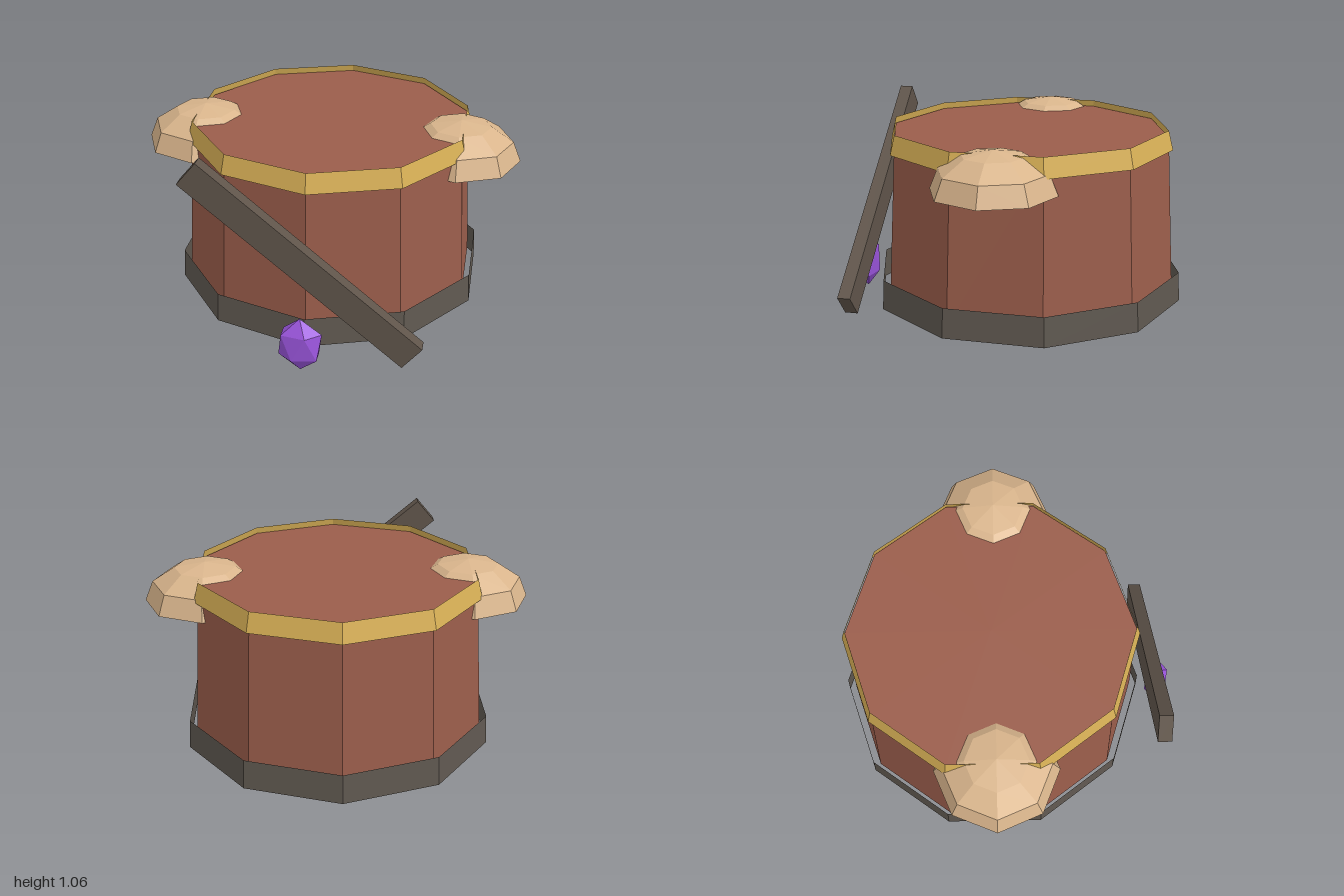
import * as THREE from 'three';

const flat = (color, extra = {}) => new THREE.MeshStandardMaterial({ color, flatShading: true, ...extra });

export function createModel() {
  const group = new THREE.Group();
  const open = { side: THREE.DoubleSide };
  const mats = {
    leather: flat(0x9a5d4b),
    gold: flat(0xd8b056, open),
    darkBelt: flat(0x5f5850, open),
    darkStrap: flat(0x60554b),
    tan: flat(0xd9b58c, open),
    purple: flat(0x9a55dc),
  };
  for (const [name, m] of Object.entries(mats)) m.name = name;

  const add = (name, geometry, material, x, y, z) => {
    const mesh = new THREE.Mesh(geometry, material);
    mesh.name = name;
    mesh.position.set(x, y, z);
    group.add(mesh);
    return mesh;
  };

  // Ten-sided tapered drum or open ring between two heights
  const ring = (name, material, rTop, rBottom, y0, y1, isOpen) =>
    add(name, new THREE.CylinderGeometry(rTop, rBottom, y1 - y0, 10, 1, isOpen),
      material, 0, (y0 + y1) / 2, -0.082);

  ring('torso', mats.leather, 0.738, 0.785, 0.115, 0.956, false);
  ring('collar', mats.gold, 0.737, 0.762, 0.888, 0.99, true);
  ring('belt', mats.darkBelt, 0.818, 0.826, 0.068, 0.224, true);

  // Shoulder domes
  for (const [name, side] of [['leftShoulder', 1], ['rightShoulder', -1]]) {
    const dome = new THREE.SphereGeometry(1, 8, 3, 0, Math.PI * 2, 0, Math.PI / 2);
    dome.scale(0.317, 0.208, 0.317);
    add(name, dome, mats.tan, side * 0.683, 0.8, -0.063);
  }

  // Diagonal strap across the front
  add('strap', new THREE.BoxGeometry(1.424, 0.152, 0.07), mats.darkStrap, 0, 0.55, 0.76)
    .rotation.z = -0.698;

  // Gem: icosahedron standing on a corner, stretched upright
  const gem = new THREE.IcosahedronGeometry(1, 0);
  gem.rotateX(-Math.atan((1 + Math.sqrt(5)) / 2));
  gem.rotateY(Math.PI / 2);
  gem.scale(0.122, 0.148, 0.07);
  gem.computeVertexNormals();
  add('gem', gem, mats.purple, 0, 0.154, 0.85);

  return group;
}
